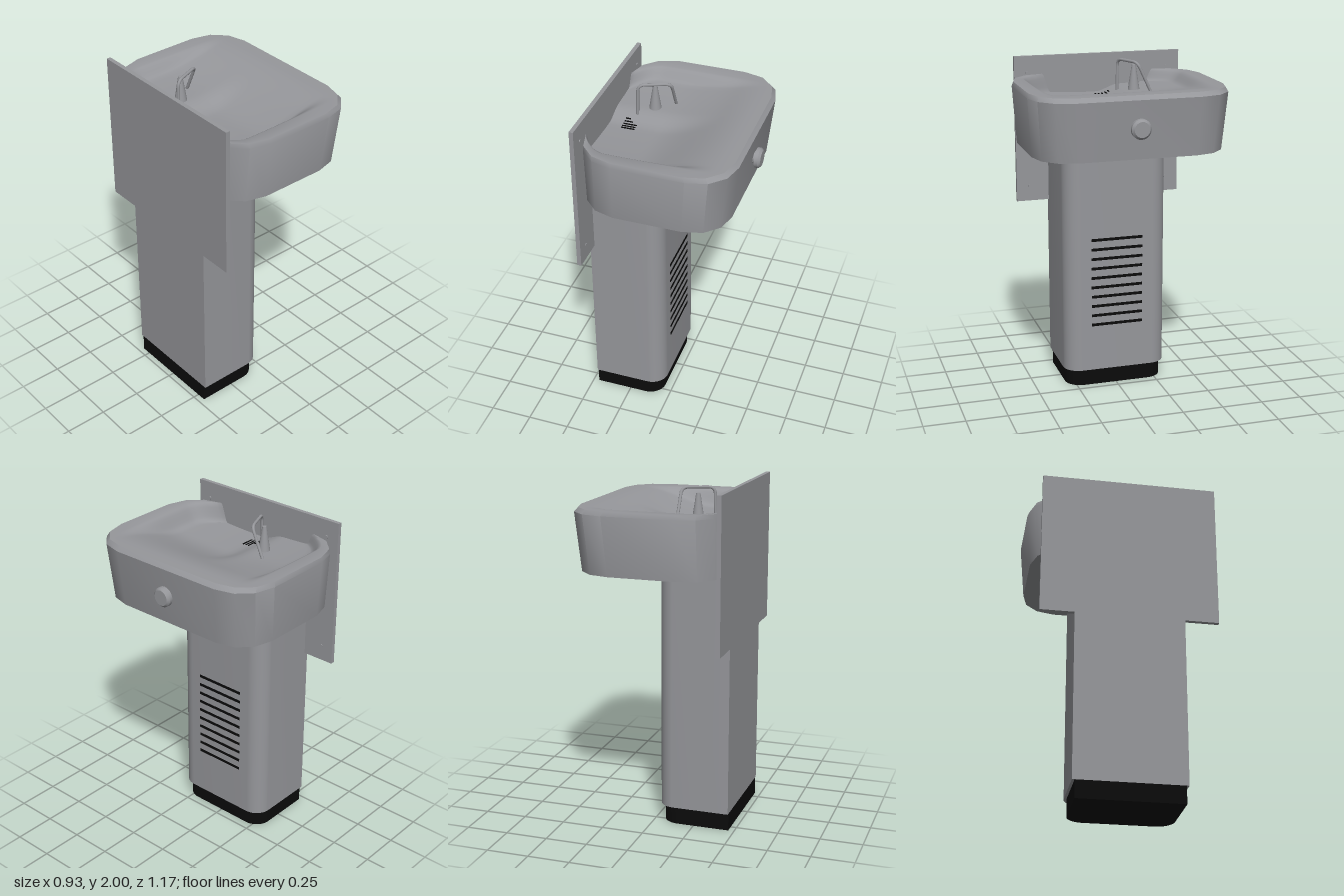
import * as THREE from 'three';
import { toCreasedNormals } from 'three/addons/utils/BufferGeometryUtils.js';

const steel = new THREE.MeshStandardMaterial({ color: 0x96979b });
steel.name = 'brushed steel';
const black = new THREE.MeshStandardMaterial({ color: 0x0b0b0b });
black.name = 'black';

const BACK = -0.44, RIM = 1.89;
// Half outline of the basin (x, z), from the wall round to the front
const HALF = [[-0.44, 0.36], [-0.41, 0.47], [-0.33, 0.55], [-0.21, 0.585],
  [0.2, 0.585], [0.32, 0.555], [0.4, 0.475], [0.43, 0.36]];

const ringHalf = (g, f) => HALF.map(([x, z]) => [BACK + (x - BACK) * g, z * f]);
const ring = (g, f) => {
  const h = ringHalf(g, f);
  return [...h, ...h.slice().reverse().map(([x, z]) => [x, -z])];
};
const ss = THREE.MathUtils.smoothstep;
const lerp = THREE.MathUtils.lerp;

// Skin over equal-length rows of [x, y, z] points
function loft(rows, crease) {
  const n = rows[0].length, index = [];
  for (let i = 0; i < rows.length - 1; i++) {
    for (let j = 0; j < n - 1; j++) {
      const a = i * n + j, c = a + n;
      index.push(a, a + 1, c, a + 1, c + 1, c);
    }
  }
  const geo = new THREE.BufferGeometry();
  geo.setAttribute('position', new THREE.Float32BufferAttribute(rows.flat(2), 3));
  geo.setIndex(index);
  return toCreasedNormals(geo, crease);
}

// Bowl floor: low at the wall, rising to the front lip, with a raised spout deck
function floorY(x, z) {
  const slope = 0.125 * ss(x, -0.15, 0.35);
  const deck = 0.04 * (1 - ss(z, -0.13, 0.02)) * (1 - ss(x, -0.15, 0.2));
  const dish = 0.02 * Math.min(1, (z / 0.42) ** 2) * (1 - ss(x, 0, 0.35));
  return Math.min(RIM, 1.765 + slope + deck + dish);
}

function bowlGeometry() {
  const top = ringHalf(0.975, 0.983), rows = [];
  for (let s = 0; s < top.length - 1; s++) {
    const steps = s === 3 ? 14 : 4;
    for (let k = s ? 1 : 0; k <= steps; k++) {
      const x = lerp(top[s][0], top[s + 1][0], k / steps);
      const Z = lerp(top[s][1], top[s + 1][1], k / steps);
      const bend = THREE.MathUtils.clamp((-0.28 - x) / 0.16, 0, 1) ** 2;
      const zo = Math.min(0.5 - 0.14 * bend, Z - 0.004);
      const zi = Math.min(0.42 - 0.12 * bend, zo - 0.02);
      const wall = [];
      for (let w = 0; w <= 6; w++) {
        const z = lerp(zi, zo, w / 6), t = ss(w / 6, 0, 1);
        wall.push([z, t]);
      }
      const row = [[x, RIM, -Z]];
      for (const [z, t] of wall.slice().reverse()) row.push([x, lerp(floorY(x, -z), RIM, t), -z]);
      for (let m = 1; m < 24; m++) {
        const z = lerp(-zi, zi, m / 24);
        row.push([x, floorY(x, z), z]);
      }
      for (const [z, t] of wall) row.push([x, lerp(floorY(x, z), RIM, t), z]);
      row.push([x, RIM, Z]);
      rows.push(row);
    }
  }
  return loft(rows, 0.8);
}

// Upright prism, square at the wall and rounded at the front
function pillar(x0, x1, hz, r, y0, y1) {
  const s = new THREE.Shape();
  s.moveTo(x0, -hz);
  s.lineTo(x1 - r, -hz);
  s.absarc(x1 - r, -hz + r, r, -Math.PI / 2, 0, false);
  s.absarc(x1 - r, hz - r, r, 0, Math.PI / 2, false);
  s.lineTo(x0, hz);
  s.closePath();
  const geo = new THREE.ExtrudeGeometry(s, { depth: y1 - y0, bevelEnabled: false, curveSegments: 8 });
  geo.rotateX(-Math.PI / 2).translate(0, y0, 0);
  return toCreasedNormals(geo, 0.6);
}

export function createModel() {
  const model = new THREE.Group();
  model.name = 'drinkingFountain';
  const add = (name, geo, mat, x = 0, y = 0, z = 0, parent = model) => {
    const m = new THREE.Mesh(geo, mat);
    m.name = name;
    m.position.set(x, y, z);
    parent.add(m);
    return m;
  };

  // Pedestal, plinth and wall plate
  add('pedestal', pillar(-0.465, -0.03, 0.32, 0.1, 0.105, 1.53), steel);
  add('plinth', pillar(-0.465, -0.05, 0.305, 0.1, 0, 0.105), black);
  add('wallPlate', new THREE.BoxGeometry(0.025, 0.895, 1.04), steel, -0.4525, 1.5525, 0);
  for (const y of [1.2, 1.9]) {
    for (const z of [-0.44, 0.44]) {
      const screw = new THREE.CylinderGeometry(0.01, 0.01, 0.006, 12).rotateZ(-Math.PI / 2);
      add('plateScrew', screw, steel, -0.438, y, z);
    }
  }

  // Pedestal grille
  const grille = new THREE.Group();
  grille.name = 'pedestalGrille';
  model.add(grille);
  for (let i = 0; i < 10; i++) {
    add('grilleSlot', new THREE.BoxGeometry(0.006, 0.017, 0.32), black, -0.03, 0.4 + i * 0.06, 0, grille);
  }

  // Basin: outer skirt, underside and bowl
  const levels = [[1.525, 0.96, 0.957], [1.865, 1, 1], [RIM, 0.975, 0.983]];
  const skirt = levels.map(([y, g, f]) => ring(g, f).map(([x, z]) => [x, y, z]));
  add('basinSkirt', loft(skirt, 0.6), steel);
  const under = new THREE.Shape(ring(0.96, 0.957).map(([x, z]) => new THREE.Vector2(x, z)));
  add('basinUnderside', new THREE.ShapeGeometry(under).rotateX(Math.PI / 2), steel, 0, 1.525, 0);
  add('basinBowl', bowlGeometry(), steel);

  // Drain slots
  [0.03, 0.05, 0.08, 0.08, 0.08].forEach((len, i) => {
    const x = -0.36 + len / 2, z = -0.04 + i * 0.02;
    add('drainSlot', new THREE.BoxGeometry(len, 0.008, 0.007), black, x, floorY(x, z), z);
  });

  // Spout and its guard rail
  add('spout', new THREE.CylinderGeometry(0.012, 0.038, 0.165, 20), steel, -0.225, 1.8725, -0.163);
  const P = (x, y, z) => new THREE.Vector3(x, y, z);
  const legA = P(-0.305, 1.77, -0.082), cornerA = P(-0.3, 1.982, -0.084);
  const cornerB = P(-0.125, 1.982, -0.155), legB = P(-0.123, 1.79, -0.245);
  const toward = (a, b, d) => a.clone().add(b.clone().sub(a).setLength(d));
  const path = new THREE.CurvePath();
  const a1 = toward(cornerA, legA, 0.04), a2 = toward(cornerA, cornerB, 0.04);
  const b1 = toward(cornerB, cornerA, 0.04), b2 = toward(cornerB, legB, 0.04);
  path.add(new THREE.LineCurve3(legA, a1));
  path.add(new THREE.QuadraticBezierCurve3(a1, cornerA, a2));
  path.add(new THREE.LineCurve3(a2, b1));
  path.add(new THREE.QuadraticBezierCurve3(b1, cornerB, b2));
  path.add(new THREE.LineCurve3(b2, legB));
  add('spoutGuard', new THREE.TubeGeometry(path, 60, 0.009, 10), steel);

  // Push button on the front
  const profile = [[0.035, 0], [0.035, 0.02], [0.058, 0.02], [0.058, 0.04], [0.045, 0.053], [0, 0.053]]
    .map(([r, h]) => new THREE.Vector2(r, h));
  const button = toCreasedNormals(new THREE.LatheGeometry(profile, 24), 0.5);
  add('pushButton', button.rotateZ(-Math.PI / 2), steel, 0.408, 1.705, 0);

  return model;
}
